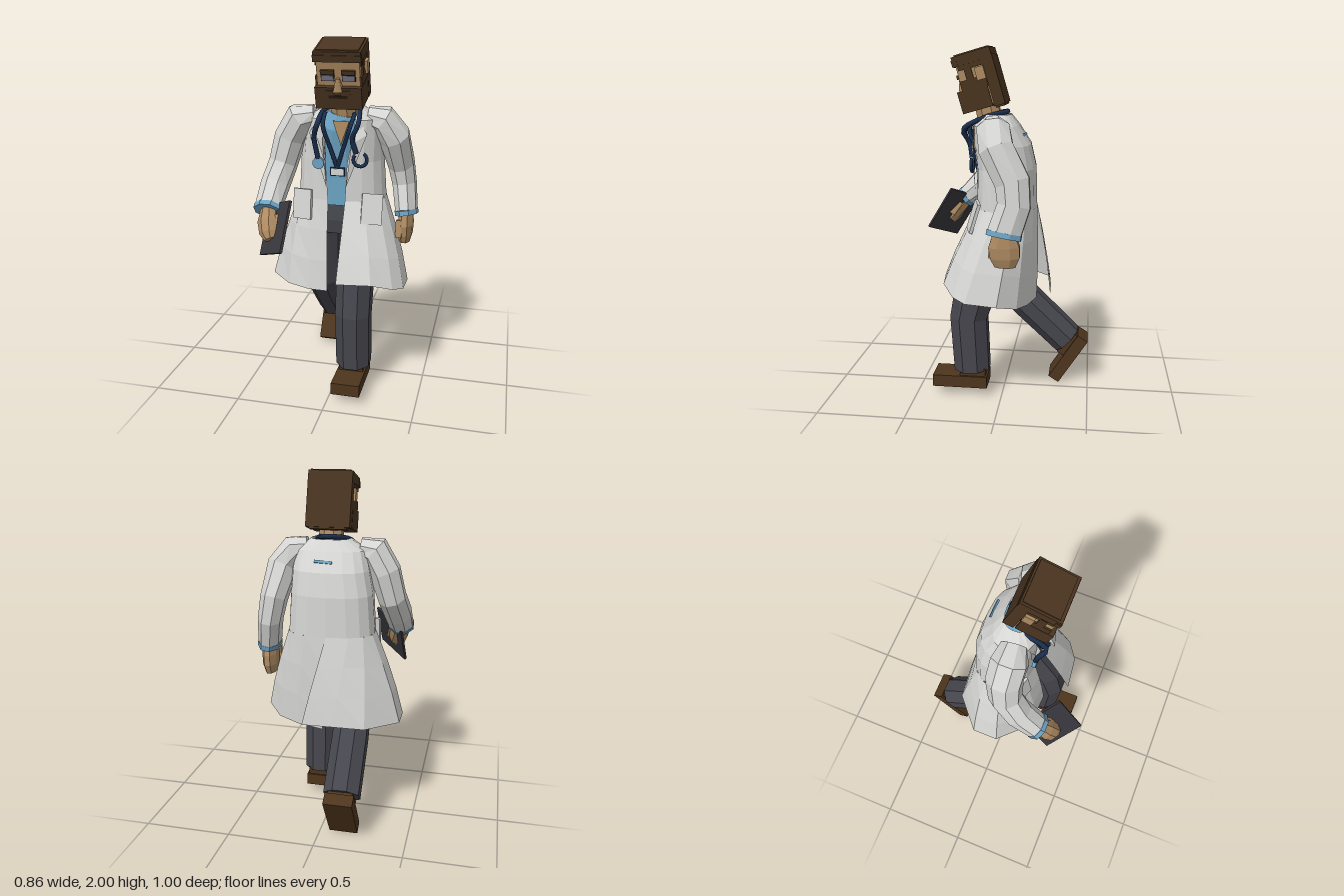
import * as THREE from 'three';

const mat = (name, color, side = THREE.FrontSide) =>
  Object.assign(new THREE.MeshStandardMaterial({ color, side }), { name });

export function createModel() {
  const M = {
    coat: mat('coat white', 0xd5d5d3, THREE.DoubleSide),
    shirt: mat('shirt blue', 0x6ca3c4),
    navy: mat('navy tubing', 0x1b2f4e),
    skin: mat('skin', 0xae8b62),
    hair: mat('hair brown', 0x4a3420),
    shoe: mat('shoe brown', 0x4d351d),
    trousers: mat('trouser grey', 0x46464e),
    board: mat('clipboard grey', 0x38373d),
    lens: mat('lens grey', 0x74788c),
    mouth: mat('mouth dark', 0x281a10),
  };
  const model = new THREE.Group();
  const V = (x, y, z) => new THREE.Vector3(x, y, z);

  const add = (name, geo, material, parent = model) => {
    const mesh = new THREE.Mesh(geo, material);
    mesh.name = name;
    parent.add(mesh);
    return mesh;
  };
  const box = (name, material, [w, h, d], [x, y, z], parent = model, rot = [0, 0, 0]) => {
    const mesh = add(name, new THREE.BoxGeometry(w, h, d), material, parent);
    mesh.position.set(x, y, z);
    mesh.rotation.set(...rot);
    return mesh;
  };
  // faceted surface through rows of points
  const sheet = (rows, closed = false) => {
    const out = [], n = rows[0].length;
    for (let k = 0; k < rows.length - 1; k++) {
      for (let i = 0; i < (closed ? n : n - 1); i++) {
        const j = (i + 1) % n;
        const a = rows[k][i], b = rows[k][j], c = rows[k + 1][i], d = rows[k + 1][j];
        for (const p of [a, b, c, b, d, c]) out.push(p.x, p.y, p.z);
      }
    }
    const geo = new THREE.BufferGeometry();
    geo.setAttribute('position', new THREE.Float32BufferAttribute(out, 3));
    geo.computeVertexNormals();
    return geo;
  };
  // capped tube along a path of [x, y, z, sideRadius, depthRadius]
  const limb = (path, sides = 8) => {
    const pts = path.map(p => V(p[0], p[1], p[2]));
    const rows = path.map((p, k) => {
      const t = pts[Math.min(k + 1, pts.length - 1)].clone().sub(pts[Math.max(k - 1, 0)]).normalize();
      const f = V(0, 0, 1).addScaledVector(t, -t.z).normalize();
      const s = f.clone().cross(t);
      return Array.from({ length: sides }, (_, i) => {
        const a = (i + 0.5) / sides * Math.PI * 2;
        return pts[k].clone().addScaledVector(s, Math.cos(a) * p[3]).addScaledVector(f, Math.sin(a) * (p[4] ?? p[3]));
      });
    });
    const cap = p => Array.from({ length: sides }, () => p);
    return sheet([cap(pts[0]), ...rows, cap(pts.at(-1))], true);
  };

  // trousers
  add('hips', limb([[0, 1.09, -0.01, 0.17, 0.12], [0, 0.98, 0, 0.18, 0.125], [0, 0.9, 0.01, 0.16, 0.1]]), M.trousers);
  add('leftLeg', limb([[0.1, 0.95, 0.03, 0.09, 0.11], [0.11, 0.66, 0.15, 0.108, 0.13],
    [0.11, 0.47, 0.195, 0.106, 0.115], [0.11, 0.15, 0.178, 0.104, 0.11]]), M.trousers);
  add('rightLeg', limb([[-0.1, 0.95, 0, 0.09, 0.11], [-0.125, 0.6, -0.025, 0.108, 0.115],
    [-0.13, 0.5, -0.12, 0.108, 0.105], [-0.135, 0.26, -0.37, 0.108, 0.1]]), M.trousers);

  // shoes
  const shoe = (name, x, y, z, tilt) => {
    const g = new THREE.Group();
    g.name = name;
    box('sole', M.shoe, [0.163, 0.07, 0.32], [0, 0, 0], g);
    box('ankle', M.shoe, [0.14, 0.05, 0.15], [0, 0.055, -0.075], g);
    g.position.set(x, y, z);
    g.rotation.x = tilt;
    model.add(g);
  };
  shoe('leftShoe', 0.107, 0.085, 0.245, 0);
  shoe('rightShoe', -0.135, 0.154, -0.38, 1.0);

  // shirt and neck
  add('shirt', limb([[0.03, 1.6, 0.06, 0.09, 0.09], [0.02, 1.54, 0.055, 0.14, 0.115], [0.01, 1.4, 0.01, 0.17, 0.138],
    [0, 1.25, -0.012, 0.175, 0.14], [0, 1.08, -0.005, 0.175, 0.132]], 12), M.shirt);
  add('neck', limb([[0.03, 1.7, 0.1, 0.068], [0.03, 1.55, 0.065, 0.075]]), M.skin);
  const vee = new THREE.Shape([[-0.045, 0.1], [0, -0.03], [0.045, 0.1]].map(p => new THREE.Vector2(...p)));
  const chest = add('openNeckline', new THREE.ExtrudeGeometry(vee, { depth: 0.008, bevelEnabled: false }), M.skin);
  chest.position.set(0.03, 1.47, 0.165);
  chest.rotation.x = -0.05;

  // coat body: [y, centre x, centre z, half width, half depth, half opening]
  const soft = v => Math.sign(v) * Math.abs(v) ** 0.8;
  const ring = ([y, cx, cz, rx, rz, gap], from, to, n) => {
    const a0 = Math.asin((gap / rx) ** (1 / 0.8));
    return Array.from({ length: n + 1 }, (_, i) => {
      const a = THREE.MathUtils.lerp(from === 0 ? a0 : from, to === 0 ? Math.PI * 2 - a0 : to, i / n);
      return V(cx - soft(Math.sin(a)) * rx, y, cz + soft(Math.cos(a)) * rz);
    });
  };
  const waist = [1.12, 0, -0.017, 0.25, 0.17, 0.048];
  const body = [[1.635, 0.02, 0.04, 0.11, 0.08, 0.08], [1.575, 0.015, 0.04, 0.2, 0.125, 0.1], [1.47, 0.01, 0.006, 0.22, 0.158, 0.08],
    [1.34, 0, -0.014, 0.235, 0.167, 0.06], waist];
  add('coatBody', sheet(body.map(r => ring(r, 0, 0, 16))), M.coat);

  // coat skirts, hem points running from the front opening to the back vent
  const hemRight = [[-0.04, 0.6, 0.22], [-0.15, 0.6, 0.215], [-0.28, 0.61, 0.18], [-0.41, 0.615, 0.05],
    [-0.41, 0.615, -0.1], [-0.235, 0.62, -0.255], [-0.05, 0.625, -0.27], [0.12, 0.625, -0.275]];
  const hemLeft = [[0.04, 0.7, 0.345], [0.23, 0.7, 0.32], [0.34, 0.66, 0.25], [0.39, 0.64, 0.175],
    [0.39, 0.625, 0], [0.3, 0.59, -0.1], [0.18, 0.575, -0.15], [0.02, 0.57, -0.19]];
  const skirt = (name, top, hem) => {
    const low = hem.map(p => V(...p));
    const between = (t, swell) => top.map((p, i) => p.clone().lerp(low[i], t).multiply(V(swell, 1, swell)));
    add(name, sheet([top, between(0.33, 1.03), between(0.66, 1.03), low]), M.coat);
  };
  skirt('coatSkirtRight', ring(waist, 0, Math.PI, 7), hemRight);
  skirt('coatSkirtLeft', ring(waist, Math.PI, 0, 7), [...hemLeft].reverse());

  // lapels, pockets and back tab
  for (const s of [-1, 1]) {
    const flap = [V(0.015 + s * 0.09, 1.62, 0.12), V(0.01 + s * 0.16, 1.5, 0.155), V(s * 0.055, 1.2, 0.162), V(0.01 + s * 0.08, 1.45, 0.178)];
    add(s > 0 ? 'leftLapel' : 'rightLapel',
      sheet(s > 0 ? [[flap[0], flap[1]], [flap[3], flap[2]]] : [[flap[1], flap[0]], [flap[2], flap[3]]]), M.coat);
    box(s > 0 ? 'leftPocket' : 'rightPocket', M.coat, [0.115, 0.17, 0.018],
      [s * 0.2, 1.085, s > 0 ? 0.15 : 0.132], model, [s > 0 ? -0.3 : -0.15, s * 0.3, 0]);
  }
  box('backTab', M.shirt, [0.1, 0.015, 0.009], [0.03, 1.525, -0.118], model, [0.5, 0, 0.06]);

  // sleeves, cuffs and hands
  add('leftSleeve', limb([[0.15, 1.58, 0.045, 0.06, 0.07], [0.23, 1.565, 0.035, 0.085, 0.095], [0.295, 1.47, 0.01, 0.09, 0.1],
    [0.325, 1.3, -0.08, 0.077, 0.1], [0.345, 1.18, -0.09, 0.07, 0.095], [0.367, 1.03, -0.04, 0.064, 0.097]]), M.coat);
  add('leftCuff', limb([[0.365, 1.04, -0.042, 0.067, 0.101], [0.37, 1.012, -0.037, 0.067, 0.101]]), M.shirt);
  add('leftHand', limb([[0.365, 1.03, -0.04, 0.04, 0.065], [0.365, 0.96, -0.04, 0.045, 0.09],
    [0.363, 0.9, -0.045, 0.043, 0.085], [0.36, 0.85, -0.045, 0.032, 0.06]]), M.skin);
  box('leftThumb', M.skin, [0.035, 0.1, 0.035], [0.335, 0.94, 0.025], model, [-0.15, 0, 0]);

  add('rightSleeve', limb([[-0.14, 1.58, 0.06, 0.06, 0.07], [-0.22, 1.565, 0.07, 0.09, 0.1], [-0.285, 1.45, 0.065, 0.09, 0.1],
    [-0.325, 1.3, 0.085, 0.082, 0.095], [-0.35, 1.19, 0.17, 0.082, 0.085], [-0.355, 1.09, 0.285, 0.076, 0.064]]), M.coat);
  add('rightCuff', limb([[-0.355, 1.1, 0.275, 0.08, 0.068], [-0.355, 1.082, 0.297, 0.08, 0.068]]), M.shirt);
  add('rightHand', limb([[-0.35, 1.09, 0.28, 0.045, 0.045], [-0.34, 1.03, 0.33, 0.06, 0.05],
    [-0.325, 0.98, 0.365, 0.055, 0.045], [-0.31, 0.95, 0.385, 0.035, 0.03]]), M.skin);
  box('rightThumb', M.skin, [0.035, 0.09, 0.035], [-0.285, 1.03, 0.34], model, [-0.6, 0, 0.2]);

  // clipboard
  const down = V(-0.015, -0.245, 0.15).normalize();
  const across = V(-0.165, -0.085, -0.14).addScaledVector(down, -0.008).normalize();
  const board = box('clipboard', M.board, [0.233, 0.288, 0.015], [0, 0, 0]);
  board.quaternion.setFromRotationMatrix(new THREE.Matrix4().makeBasis(across, down, across.clone().cross(down)));
  board.position.set(-0.29, 1.005, 0.355);

  // stethoscope, lanyard and badge
  const tube = (name, pts, r) =>
    add(name, new THREE.TubeGeometry(new THREE.CatmullRomCurve3(pts.map(p => V(...p))), 32, r, 6), M.navy);
  tube('stethoscopeTube', [[-0.1, 1.36, 0.165], [-0.115, 1.48, 0.185], [-0.09, 1.555, 0.215], [-0.075, 1.62, 0.1], [0.02, 1.65, -0.025],
    [0.115, 1.62, 0.1], [0.13, 1.555, 0.215], [0.095, 1.48, 0.185], [0.115, 1.4, 0.17]], 0.014);
  const disc = add('stethoscopeDisc', new THREE.CylinderGeometry(0.033, 0.033, 0.02, 10), M.shirt);
  disc.position.set(-0.097, 1.335, 0.165);
  disc.rotation.x = Math.PI / 2;
  const loop = add('stethoscopeRing', new THREE.TorusGeometry(0.038, 0.01, 6, 12, 4.9), M.navy);
  loop.position.set(0.135, 1.365, 0.165);
  loop.rotation.z = 2.4;
  for (const [name, x] of [['lanyardRight', -0.065], ['lanyardLeft', 0.1]])
    tube(name, [[x, 1.61, 0.14], [x * 0.9, 1.55, 0.21], [x * 0.5, 1.44, 0.18], [0.005, 1.31, 0.15]], 0.012);
  box('badge', M.coat, [0.07, 0.036, 0.01], [0.005, 1.285, 0.146]);
  box('badgeHolder', M.navy, [0.082, 0.048, 0.008], [0.005, 1.285, 0.142]);

  // head, tipped forward
  const head = new THREE.Group();
  head.name = 'head';
  head.position.set(0.03, 1.82, 0.125);
  head.rotation.x = 0.28;
  model.add(head);
  box('face', M.skin, [0.23, 0.27, 0.195], [0, -0.005, 0.002], head);
  box('hairTop', M.hair, [0.25, 0.055, 0.215], [0, 0.1275, 0.003], head);
  box('hairCrown', M.hair, [0.225, 0.01, 0.19], [0, 0.157, 0], head);
  box('hairFringe', M.hair, [0.255, 0.035, 0.03], [0, 0.12, 0.1], head);
  box('hairSides', M.hair, [0.246, 0.03, 0.19], [0, 0.09, -0.005], head);
  box('hairBack', M.hair, [0.25, 0.27, 0.06], [0, -0.02, -0.077], head);
  box('hairNape', M.hair, [0.21, 0.02, 0.05], [0, -0.155, -0.075], head);
  box('beard', M.hair, [0.25, 0.12, 0.17], [0, -0.09, 0.045], head);
  box('mouth', M.mouth, [0.1, 0.016, 0.008], [0, -0.08, 0.129], head);
  box('moustache', M.hair, [0.13, 0.022, 0.012], [0, -0.055, 0.13], head);
  const nose = add('nose', new THREE.CylinderGeometry(0.012, 0.034, 0.068, 4), M.skin, head);
  nose.position.set(0, -0.018, 0.118);
  nose.rotation.y = Math.PI / 4;
  for (const s of [-1, 1]) {
    box('ear', M.skin, [0.025, 0.07, 0.05], [s * 0.124, 0.035, -0.022], head);
    box('beardSide', M.hair, [0.012, 0.06, 0.145], [s * 0.118, -0.01, 0.028], head);
    box('sideburn', M.hair, [0.012, 0.08, 0.04], [s * 0.118, 0.05, 0.04], head);
    box('eyebrow', M.hair, [0.072, 0.022, 0.02], [s * 0.056, 0.046, 0.105], head);
    box('eyeFrame', M.mouth, [0.072, 0.036, 0.008], [s * 0.056, 0.014, 0.101], head);
    box('lens', M.lens, [0.062, 0.028, 0.008], [s * 0.056, 0.013, 0.104], head);
  }
  return model;
}
